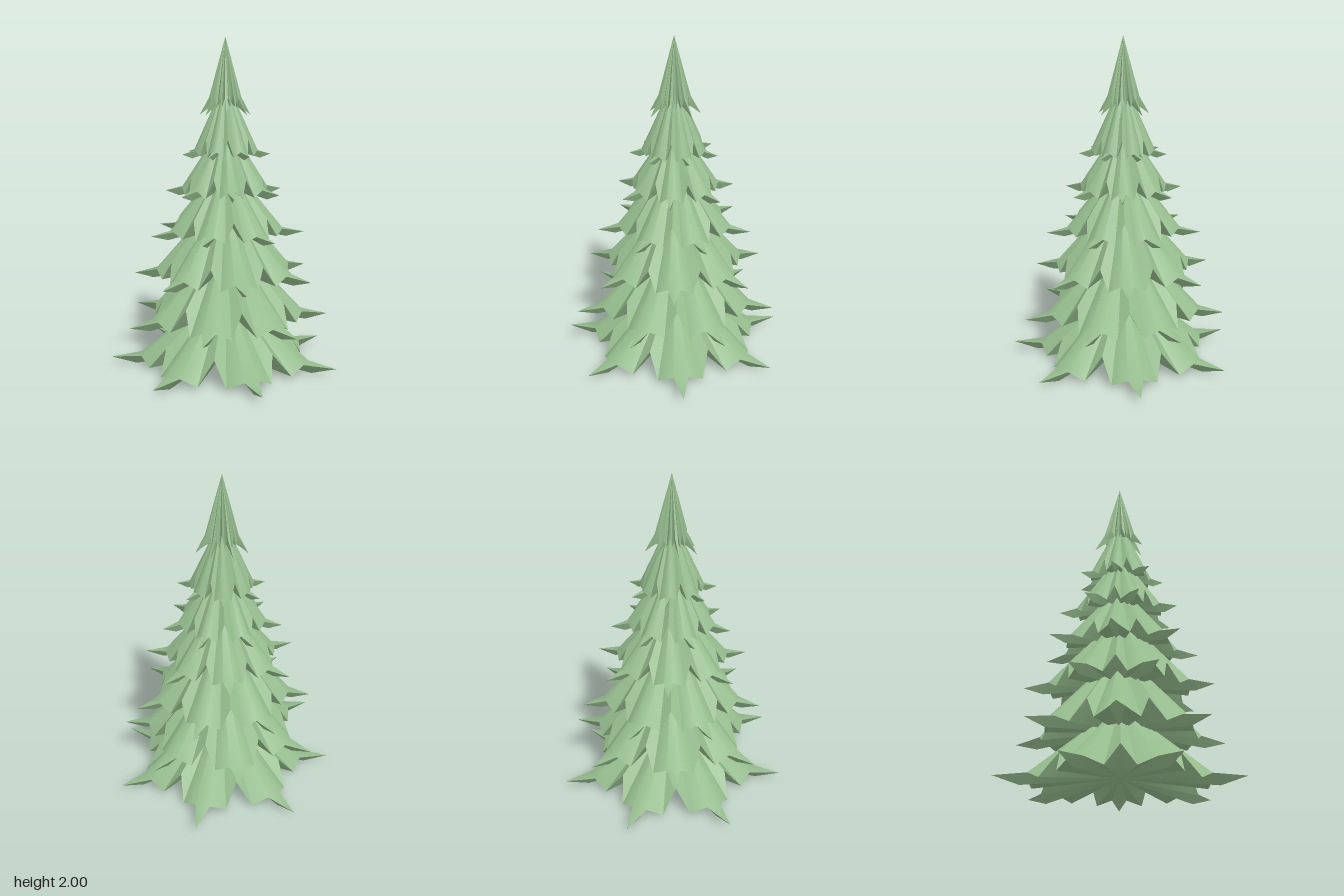
import * as THREE from 'three';
import { toCreasedNormals } from 'three/addons/utils/BufferGeometryUtils.js';

const LOBES = 7;
const STEP = (Math.PI * 2) / LOBES;
const RAD = Math.PI / 180;

// One closed skirt of branches: seven smooth lobes, each with a keeled spike under its edge
function tierGeometry({ tipR, tipY, edgeR, edgeY, apexY, cornerY, notchY }) {
  const positions = [];
  const tri = (...corners) => corners.forEach((p) => positions.push(...p));
  const polar = (angle, r, y) => [Math.cos(angle) * r, y, Math.sin(angle) * r];

  const apex = [0, apexY, 0];
  const base = [0, cornerY + 0.05, 0];
  const notchR = (edgeR * (apexY - notchY)) / (apexY - edgeY);

  for (let i = 0; i < LOBES; i++) {
    const a = i * STEP;
    const tip = polar(a, tipR, tipY);
    const keel = polar(a, edgeR + (tipR - edgeR) * 0.22, cornerY - 0.015);
    // Notch, lobe corner and spike root on each side
    const half = (s) => [
      polar(a + s * STEP / 2, notchR, notchY),
      polar(a + s * 16 * RAD, edgeR * 0.96, cornerY),
      polar(a + s * 4.9 * RAD, edgeR * 1.02, edgeY),
    ];
    const left = half(-1);
    const right = half(1).reverse();

    // Upper surface
    const rim = [...left, ...right];
    for (let k = 0; k < rim.length - 1; k++) tri(apex, rim[k + 1], rim[k]);

    // Underside
    const lower = [...left, keel, ...right];
    for (let k = 0; k < lower.length - 1; k++) tri(base, lower[k], lower[k + 1]);

    // Spike: flat top, keel below
    tri(left[2], right[0], tip);
    tri(keel, left[2], tip);
    tri(keel, tip, right[0]);
  }

  const geometry = new THREE.BufferGeometry();
  geometry.setAttribute('position', new THREE.Float32BufferAttribute(positions, 3));
  return toCreasedNormals(geometry, 50 * RAD);
}

export function createModel() {
  const tree = new THREE.Group();
  tree.name = 'firTree';
  const material = new THREE.MeshStandardMaterial({ color: 0x94bb8c });

  // Tiers from the ground up:
  // tipR, tipY, edgeR, edgeY, apexY, cornerY, notchY
  const tiers = [
    [0.71, 0.045, 0.515, 0.06, 0.50, 0.015, 0.15],
    [0.632, 0.305, 0.465, 0.33, 0.84, 0.285, 0.42],
    [0.56, 0.57, 0.415, 0.60, 1.09, 0.555, 0.67],
    [0.477, 0.835, 0.34, 0.855, 1.28, 0.82, 0.93],
    [0.367, 1.08, 0.26, 1.105, 1.51, 1.065, 1.17],
    [0.27, 1.31, 0.19, 1.33, 1.75, 1.30, 1.40],
    [0.157, 1.54, 0.095, 1.645, 2.0, 1.59, 1.67],
  ];

  tiers.forEach(([tipR, tipY, edgeR, edgeY, apexY, cornerY, notchY], i) => {
    const geometry = tierGeometry({ tipR, tipY, edgeR, edgeY, apexY, cornerY, notchY });
    const tier = new THREE.Mesh(geometry, material);
    tier.name = i === tiers.length - 1 ? 'treeTop' : `branchTier${i + 1}`;
    // Each tier turns about half a lobe past the one below
    tier.rotation.y = -(7.2 + 27.9 * i) * RAD;
    tier.position.set(-0.016, 0, 0.017);
    tree.add(tier);
  });

  return tree;
}
